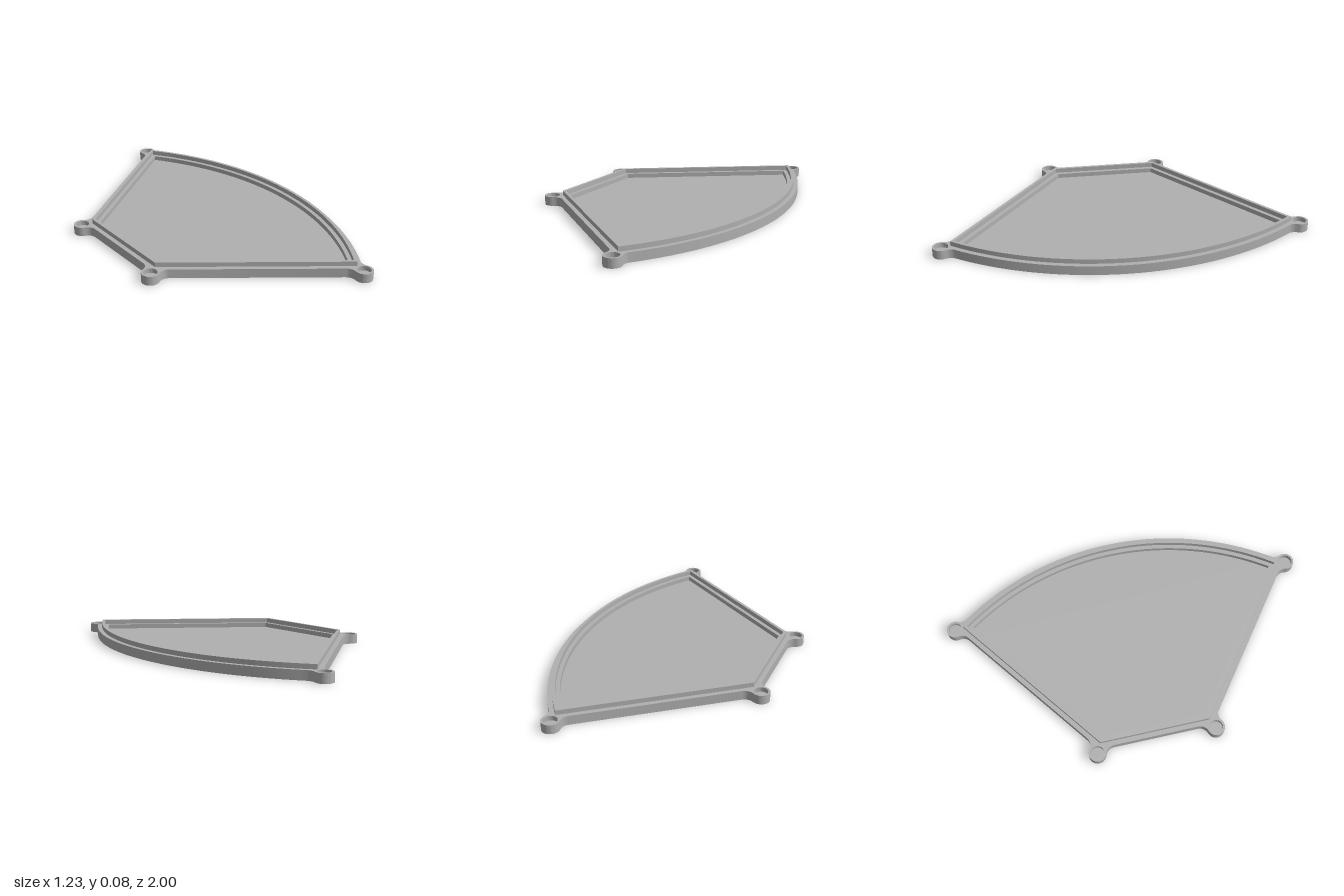
import * as THREE from 'three';
import { toCreasedNormals } from 'three/addons/utils/BufferGeometryUtils.js';

const V = (x, y) => new THREE.Vector2(x, y);

// Plan of the tray: a curved edge, two slanted sides and a straight short end
const CENTRE = V(-0.9235, 0), ARC = 1.4735;
const SLANT = { n: V(-0.6, 0.8), c: 0.515 };
const END = { n: V(-1, 0), c: 0.485 };
const RIM = 0.063, LIP_OUT = 0.038, LIP_IN = 0.022;
const FLOOR_Y = 0.025, RIM_Y = 0.05, LIP_Y = 0.075;
const BOSS_R = 0.047, HOLE_R = 0.036, FILLET = 0.05;
const BOSSES = [V(0.288, 0.953), V(-0.57, 0.325)];

// Points on an arc between two points
function arc(c, r, from, to, ccw, steps) {
  const a = Math.atan2(from.y - c.y, from.x - c.x);
  let b = Math.atan2(to.y - c.y, to.x - c.x);
  if (ccw && b < a) b += Math.PI * 2;
  if (!ccw && b > a) b -= Math.PI * 2;
  return Array.from({ length: steps + 1 }, (_, i) => {
    const t = a + ((b - a) * i) / steps;
    return V(c.x + r * Math.cos(t), c.y + r * Math.sin(t));
  });
}

// Mirror half an outline across the centre line
const mirrored = (half) => [...half, ...half.map((p) => V(p.x, -p.y)).reverse()];

// Plain outline, grown by d from the floor edge
function outline(d) {
  const r = ARC + d;
  const k = SLANT.c + d - SLANT.n.dot(CENTRE);
  const s = Math.sqrt(r * r - k * k);
  const tip = V(CENTRE.x + SLANT.n.x * k + 0.8 * s, SLANT.n.y * k + 0.6 * s);
  const x = -(END.c + d);
  const corner = V(x, (SLANT.c + d + 0.6 * x) / 0.8);
  return mirrored([...arc(CENTRE, r, V(CENTRE.x + r, 0), tip, true, 32).slice(1), corner]);
}

// Fillet between a boss and a straight edge; side picks before or after the boss
function lineFillet(boss, edge, side) {
  const h = edge.c + RIM + FILLET, t = V(-edge.n.y, edge.n.x);
  const gap = h - edge.n.dot(boss);
  const along = t.dot(boss) + side * Math.sqrt((BOSS_R + FILLET) ** 2 - gap * gap);
  const f = edge.n.clone().multiplyScalar(h).addScaledVector(t, along);
  return { f, edge: f.clone().addScaledVector(edge.n, -FILLET) };
}

// Fillet between a boss and the curved edge
function arcFillet(boss) {
  const v = boss.clone().sub(CENTRE), d = v.length(), R = ARC + RIM;
  const cos = (d * d + (R + FILLET) ** 2 - (BOSS_R + FILLET) ** 2) / (2 * d * (R + FILLET));
  const a = v.angle() - Math.acos(cos), u = V(Math.cos(a), Math.sin(a));
  return {
    f: CENTRE.clone().addScaledVector(u, R + FILLET),
    edge: CENTRE.clone().addScaledVector(u, R),
  };
}

// Fillet, round boss, fillet
function bossRun(boss, before, after) {
  const touch = ({ f }) => boss.clone().lerp(f, BOSS_R / (BOSS_R + FILLET));
  const p = touch(before), q = touch(after);
  return [
    ...arc(before.f, FILLET, before.edge, p, false, 8),
    ...arc(boss, BOSS_R, p, q, true, 24).slice(1, -1),
    ...arc(after.f, FILLET, q, after.edge, false, 8),
  ];
}

function outerOutline() {
  const [far, near] = BOSSES, first = arcFillet(far), R = ARC + RIM;
  return mirrored([
    ...arc(CENTRE, R, V(CENTRE.x + R, 0), first.edge, true, 32).slice(1, -1),
    ...bossRun(far, first, lineFillet(far, SLANT, 1)),
    ...bossRun(near, lineFillet(near, SLANT, -1), lineFillet(near, END, 1)),
  ]);
}

// Upright slab between two heights, with optional holes
function slab(name, points, holes, y0, y1, material) {
  const shape = new THREE.Shape(points);
  shape.holes = holes.map((h) => new THREE.Path(h));
  const raw = new THREE.ExtrudeGeometry(shape, { depth: y1 - y0, bevelEnabled: false });
  raw.rotateX(-Math.PI / 2).translate(0, y0, 0);
  const mesh = new THREE.Mesh(toCreasedNormals(raw, 0.5), material);
  mesh.name = name;
  return mesh;
}

export function createModel() {
  const grey = new THREE.MeshStandardMaterial({ color: 0xb0b0b0 });
  grey.name = 'plain grey';
  const group = new THREE.Group();
  group.name = 'fanShapedTray';

  const outer = outerOutline();
  // Blind screw holes in the four corner bosses
  const screwHoles = BOSSES.flatMap((b) => [1, -1].map((s) =>
    Array.from({ length: 32 }, (_, i) => {
      const a = (i / 32) * Math.PI * 2;
      return V(b.x + HOLE_R * Math.cos(a), s * b.y + HOLE_R * Math.sin(a));
    })));

  group.add(
    slab('floorPlate', outer, [], 0, FLOOR_Y, grey),
    slab('rim', outer, [outline(0), ...screwHoles], FLOOR_Y, RIM_Y, grey),
    slab('raisedLip', outline(LIP_OUT), [outline(LIP_IN)], RIM_Y, LIP_Y, grey),
  );
  return group;
}
